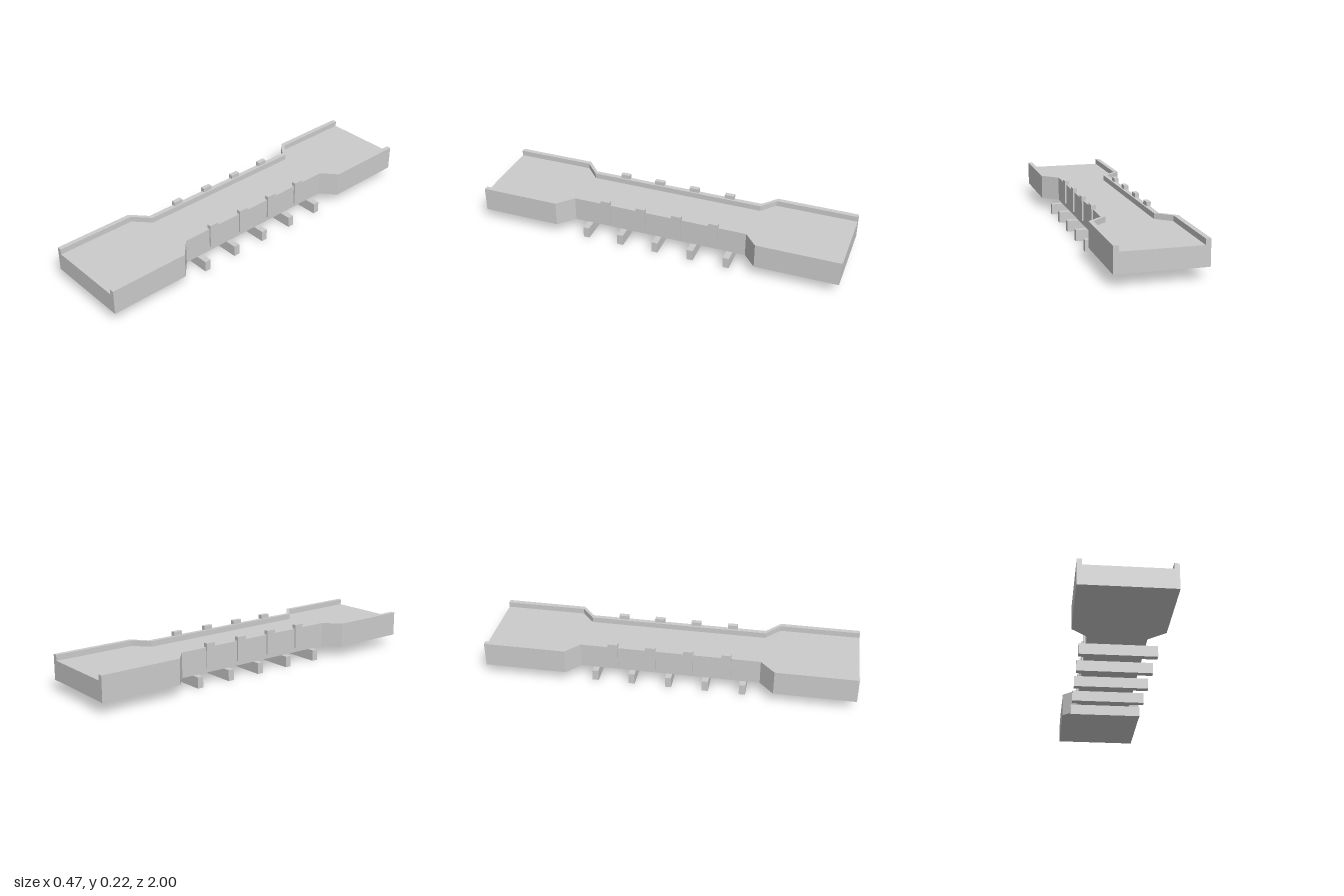
import * as THREE from 'three';

const BOTTOM = 0.06, DECK = 0.165, TOP = 0.195;

// Stations from back to front: z, outer left/right x, inner left/right x
const STATIONS = [
  [-1, -0.233, 0.229, -0.207, 0.203],
  [-0.555, -0.233, 0.229, -0.207, 0.203],
  [-0.485, -0.153, 0.149, -0.127, 0.124],
  [0.488, -0.153, 0.149, -0.127, 0.124],
  [0.566, -0.237, 0.235, -0.212, 0.21],
  [1, -0.237, 0.235, -0.212, 0.21],
];

// Channel-shaped cross-section: deck with a raised curb on both edges
function section([, outL, outR, inL, inR]) {
  return [
    [outL, BOTTOM], [outR, BOTTOM], [outR, TOP], [inR, TOP],
    [inR, DECK], [inL, DECK], [inL, TOP], [outL, TOP],
  ].map(([x, y]) => new THREE.Vector2(x, y));
}

function deckGeometry() {
  const pos = [];
  const rings = STATIONS.map((s) => section(s).map((p) => [p.x, p.y, s[0]]));
  for (let i = 0; i < rings.length - 1; i++) {
    const a = rings[i], b = rings[i + 1];
    for (let j = 0; j < a.length; j++) {
      const k = (j + 1) % a.length;
      pos.push(...a[j], ...a[k], ...b[k], ...a[j], ...b[k], ...b[j]);
    }
  }
  // End caps
  const last = rings.length - 1;
  for (const [p, q, r] of THREE.ShapeUtils.triangulateShape(section(STATIONS[last]), [])) {
    pos.push(...rings[last][p], ...rings[last][q], ...rings[last][r]);
    pos.push(...rings[0][r], ...rings[0][q], ...rings[0][p]);
  }
  const geo = new THREE.BufferGeometry();
  geo.setAttribute('position', new THREE.Float32BufferAttribute(pos, 3));
  geo.computeVertexNormals();
  return geo;
}

export function createModel() {
  const model = new THREE.Group();
  model.name = 'bridge';
  const material = new THREE.MeshStandardMaterial({ color: 0xcccccc, flatShading: true });

  const add = (name, geometry, x = 0, y = 0, z = 0) => {
    const mesh = new THREE.Mesh(geometry, material);
    mesh.name = name;
    mesh.position.set(x, y, z);
    model.add(mesh);
  };

  add('deck', deckGeometry());

  // Cross beams under the narrow span
  const beam = new THREE.BoxGeometry(0.405, 0.06, 0.034);
  for (let i = -2; i <= 2; i++) add('crossBeam', beam, 0.01, 0.03, i * 0.2);

  // Posts along the curbs
  const post = new THREE.BoxGeometry(0.024, 0.132, 0.053);
  for (let i = 0; i < 4; i++) {
    const z = (i - 1.5) * 0.204;
    add('leftPost', post, 0.146, 0.151, z);
    add('rightPost', post, -0.148, 0.151, z);
  }

  return model;
}
